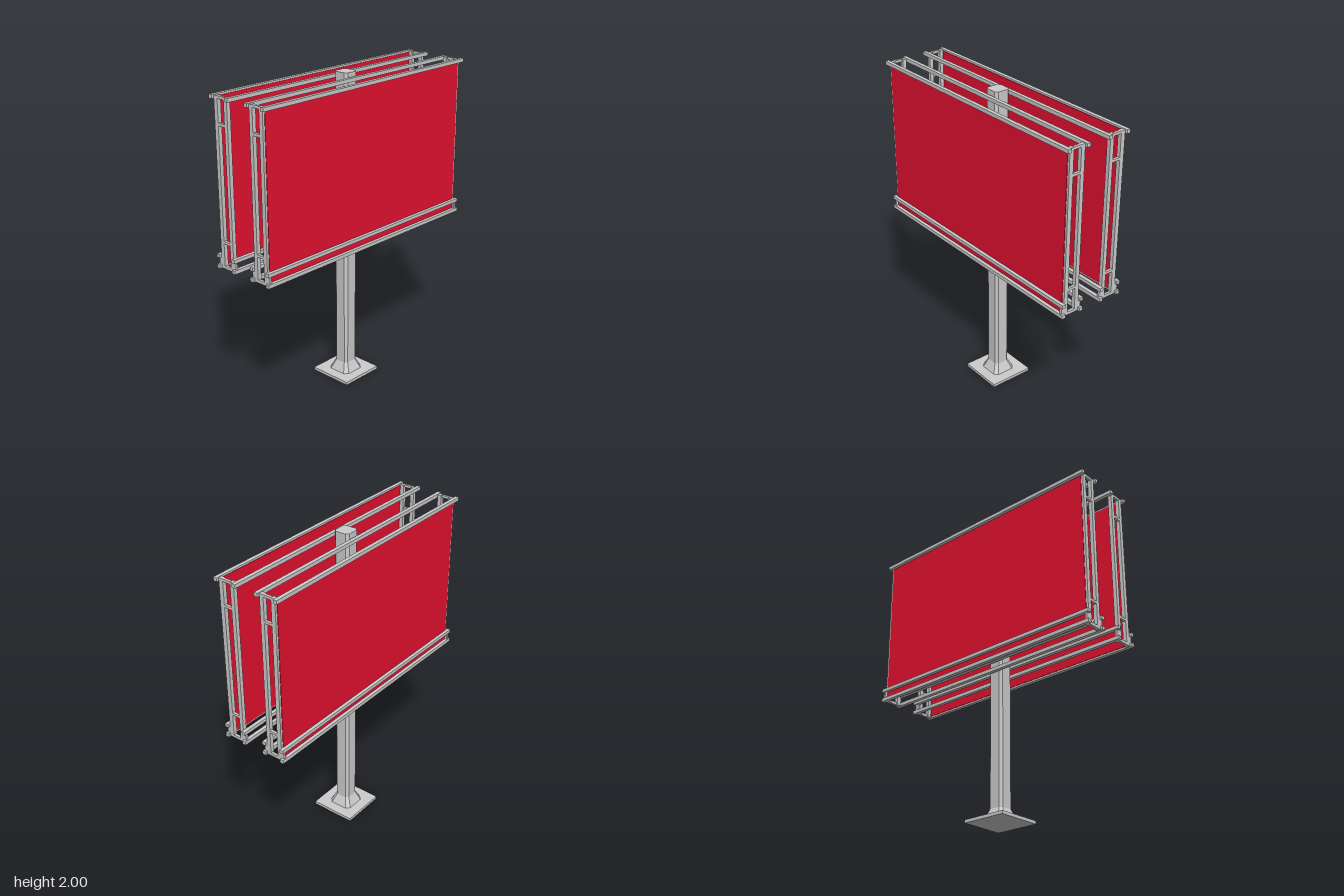
import * as THREE from 'three';

const steel = new THREE.MeshStandardMaterial({ color: 0xcccccc, flatShading: true });
const red = new THREE.MeshStandardMaterial({ color: 0xe4112f });

// Box given by its min and max along each axis
function bar(parent, name, [x0, x1], [y0, y1], [z0, z1], material = steel) {
  const mesh = new THREE.Mesh(new THREE.BoxGeometry(Math.abs(x1 - x0), y1 - y0, Math.abs(z1 - z0)), material);
  mesh.position.set((x0 + x1) / 2, (y0 + y1) / 2, (z0 + z1) / 2);
  mesh.name = name;
  parent.add(mesh);
}

// Square ring with cut corners, half width w, cut c
function ring(y, w, c) {
  const a = w - c;
  return [[w, a], [a, w], [-a, w], [-w, a], [-w, -a], [-a, -w], [a, -w], [w, -a]].map(([x, z]) => [x, y, z]);
}

// Skin between rings, closed at the top
function loft(rings) {
  const pos = [];
  const n = rings[0].length;
  for (let r = 0; r < rings.length - 1; r++) {
    for (let i = 0; i < n; i++) {
      const j = (i + 1) % n;
      const [a, b, c, d] = [rings[r][i], rings[r][j], rings[r + 1][j], rings[r + 1][i]];
      pos.push(...a, ...d, ...c, ...a, ...c, ...b);
    }
  }
  const top = rings[rings.length - 1];
  for (let i = 1; i < n - 1; i++) pos.push(...top[0], ...top[i + 1], ...top[i]);
  const geometry = new THREE.BufferGeometry();
  geometry.setAttribute('position', new THREE.Float32BufferAttribute(pos, 3));
  geometry.computeVertexNormals();
  return geometry;
}

// One advertising frame on side s (+1 left, -1 right)
function createFrame(s) {
  const frame = new THREE.Group();
  frame.name = s > 0 ? 'leftBillboard' : 'rightBillboard';
  const X = (a, b) => [s * a, s * b];

  // Long rails on the outer and inner sides
  const railHeights = { topRail: [1.953, 1.976], middleRail: [1.011, 1.033], bottomRail: [0.944, 0.967] };
  for (const [name, y] of Object.entries(railHeights)) {
    bar(frame, name + 'Outer', X(0.196, 0.22), y, [-0.857, 0.857]);
    bar(frame, name + 'Inner', X(0.066, 0.09), y, [-0.857, 0.857]);
  }

  // Posts, rungs and short ties at both ends
  for (const e of [-1, 1]) {
    const Z = (a, b) => [e * a, e * b];
    bar(frame, 'outerPost', X(0.168, 0.196), [0.946, 1.972], Z(0.817, 0.842));
    bar(frame, 'innerPost', X(0.09, 0.116), [0.946, 1.972], Z(0.817, 0.842));
    for (const [y0, y1] of [[0.946, 0.965], [1.103, 1.119], [1.803, 1.819], [1.957, 1.973]])
      bar(frame, 'endRung', X(0.116, 0.168), [y0, y1], Z(0.825, 0.842));
    bar(frame, 'outerTie', X(0.196, 0.214), [0.967, 1.011], Z(0.828, 0.842));
    bar(frame, 'innerTie', X(0.072, 0.09), [0.967, 1.011], Z(0.828, 0.842));
  }

  // Sign board on the outer side
  bar(frame, 'signPanel', X(0.193, 0.199), [0.955, 1.965], [-0.828, 0.828], red);
  return frame;
}

export function createModel() {
  const model = new THREE.Group();
  model.name = 'billboard';

  // Foot plate
  bar(model, 'basePlate', [-0.147, 0.147], [0, 0.02], [-0.147, 0.147]);

  // Column with flared foot
  const column = new THREE.Mesh(
    loft([ring(0.02, 0.08, 0.024), ring(0.083, 0.051, 0.016), ring(2, 0.051, 0.016)]), steel);
  column.name = 'column';
  model.add(column);

  model.add(createFrame(1), createFrame(-1));
  return model;
}
